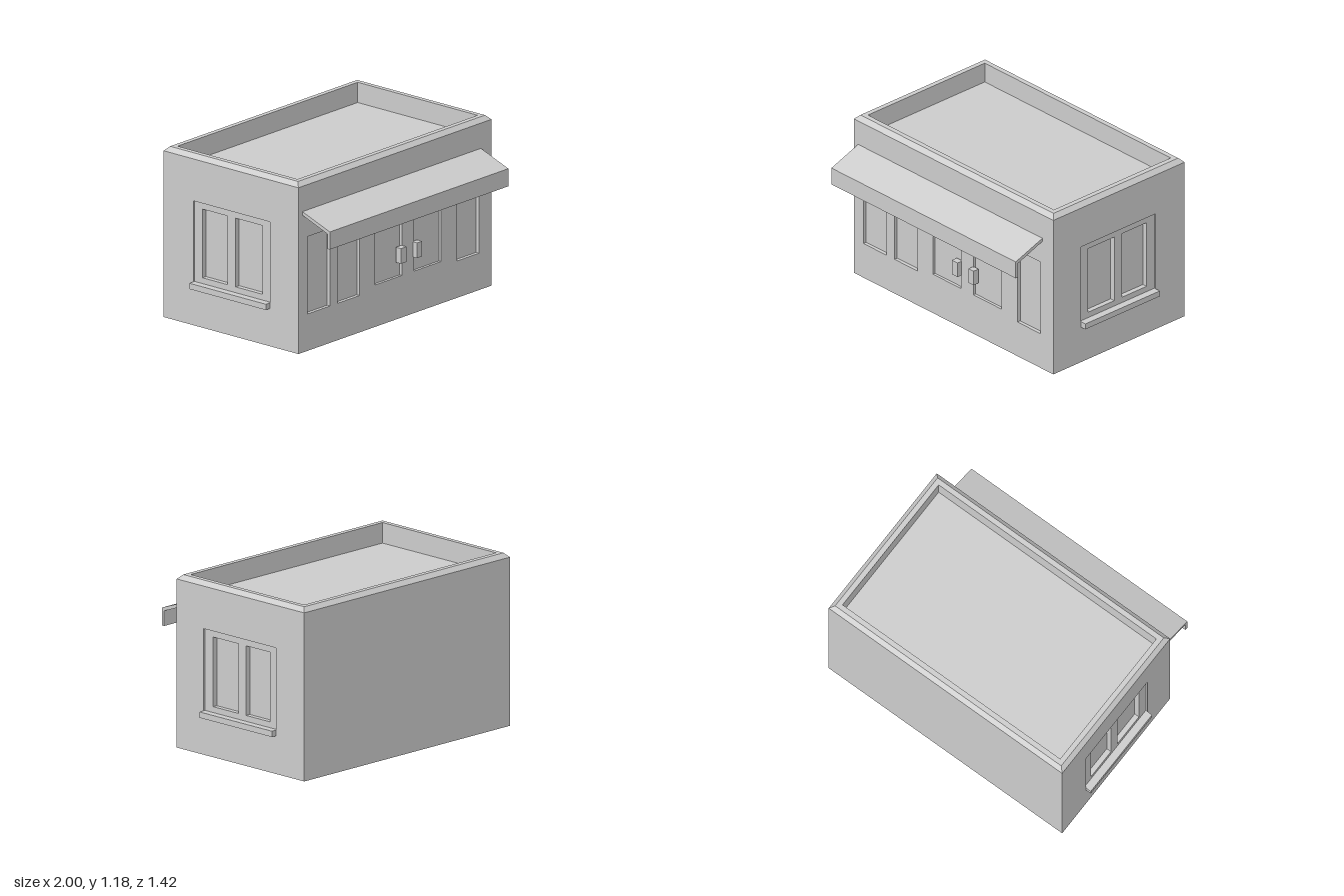
import * as THREE from 'three';

const mat = new THREE.MeshStandardMaterial({ color: 0xcccccc, flatShading: true });
const W = 0.96, ZF = 0.47, ZB = -0.71, H = 1.15, T = 0.065, ZC = -0.12;

function add(parent, name, geometry) {
  const mesh = new THREE.Mesh(geometry, mat);
  mesh.name = name;
  parent.add(mesh);
  return mesh;
}

// Box given by its limits
function box(parent, name, [x0, x1], [y0, y1], [z0, z1]) {
  const g = new THREE.BoxGeometry(x1 - x0, y1 - y0, z1 - z0);
  g.translate((x0 + x1) / 2, (y0 + y1) / 2, (z0 + z1) / 2);
  return add(parent, name, g);
}

// Flat plate from an outline, with rectangular holes [x0, x1, y0, y1], between z0 and z1
function plate(parent, name, outline, holes, z0, z1) {
  const shape = new THREE.Shape(outline.map(([x, y]) => new THREE.Vector2(x, y)));
  for (const [x0, x1, y0, y1] of holes) {
    shape.holes.push(new THREE.Path(
      [[x0, y0], [x0, y1], [x1, y1], [x1, y0]].map(([x, y]) => new THREE.Vector2(x, y))));
  }
  const g = new THREE.ExtrudeGeometry(shape, { depth: z1 - z0, bevelEnabled: false });
  g.translate(0, 0, z0);
  return add(parent, name, g);
}

const rect = (x0, x1, y0, y1) => [[x0, y0], [x1, y0], [x1, y1], [x0, y1]];

// Rectangular ring swept through [inset, height] steps
function coping(steps) {
  const loops = steps.map(([d, y]) => [
    [-W + d, y, ZF - d], [W - d, y, ZF - d], [W - d, y, ZB + d], [-W + d, y, ZB + d]]);
  const pos = [];
  for (let i = 0; i < loops.length - 1; i++) {
    for (let j = 0; j < 4; j++) {
      const k = (j + 1) % 4;
      const a = loops[i][j], b = loops[i][k], c = loops[i + 1][k], d = loops[i + 1][j];
      pos.push(...a, ...b, ...c, ...a, ...c, ...d);
    }
  }
  const g = new THREE.BufferGeometry();
  g.setAttribute('position', new THREE.Float32BufferAttribute(pos, 3));
  g.computeVertexNormals();
  return g;
}

// Side wall built facing +z, with a sill and a two-pane window; s = 1 for left, -1 for right
function sideWall(s) {
  const wall = new THREE.Group();
  wall.name = s > 0 ? 'leftWall' : 'rightWall';
  const half = (ZF - ZB) / 2 - T;
  const span = (a, b) => (s > 0 ? [a, b] : [-b, -a]);
  const opening = [...span(-0.34, 0.33), 0.26, 0.86];
  const panes = [span(-0.265, -0.03), span(0.04, 0.26)];
  plate(wall, 'sideWallPanel', rect(-half, half, 0, H), [opening], -T, 0);
  plate(wall, 'windowFrame', rect(...opening),
    panes.map((p) => [...p, 0.34, 0.815]), -0.055, -0.012);
  for (const p of panes) box(wall, 'windowPane', p, [0.34, 0.815], [-0.053, -0.047]);
  box(wall, 'windowSill', span(-0.34, 0.33), [0.26, 0.3], [-0.1, 0.04]);
  wall.rotation.y = s * Math.PI / 2;
  wall.position.set(s * W, 0, ZC);
  return wall;
}

export function createModel() {
  const shop = new THREE.Group();
  shop.name = 'shopBuilding';

  // Front wall with a doorway notch and three shop windows
  const doorway = [-0.25, 0.53, 0, 0.86];
  const windows = [[-0.87, -0.645], [-0.57, -0.35], [0.615, 0.835]];
  plate(shop, 'frontWall', [
    [-W, 0], [doorway[0], 0], [doorway[0], doorway[3]], [doorway[1], doorway[3]],
    [doorway[1], 0], [W, 0], [W, H], [-W, H]],
    windows.map((w) => [...w, 0.255, 0.79]), ZF - T, ZF);
  for (const w of windows) {
    box(shop, 'shopWindowPane', w, [0.255, 0.79], [ZF - 0.04, ZF - 0.025]);
  }

  // Double door, flush outside, with glazing and handles
  const doorPanes = [[-0.2, 0.07], [0.19, 0.46]];
  plate(shop, 'doubleDoor', rect(...doorway),
    doorPanes.map((p) => [...p, 0.29, 0.71]), ZF - 0.045, ZF);
  for (const p of doorPanes) {
    box(shop, 'doorPane', p, [0.29, 0.71], [ZF - 0.035, ZF - 0.02]);
  }
  for (const x of [[0.02, 0.075], [0.18, 0.23]]) {
    box(shop, 'doorHandle', x, [0.39, 0.495], [ZF - 0.01, ZF + 0.035]);
  }

  // Remaining walls
  box(shop, 'backWall', [-W, W], [0, H], [ZB, ZB + T]);
  shop.add(sideWall(1), sideWall(-1));

  // Sunken flat roof and bevelled parapet top
  box(shop, 'roof', [-W + T, W - T], [1.0, 1.04], [ZB + T, ZF - T]);
  add(shop, 'parapetCoping', coping([[0, H], [0.03, 1.18], [T, 1.18], [T, H]]));

  // Sloped awning with a hanging front flap
  const awning = plate(shop, 'awning', [
    [0.465, 0.977], [0.465, 0.953], [0.69, 0.868], [0.69, 0.765], [0.71, 0.765], [0.71, 0.887]],
    [], -0.855, 0.92);
  awning.rotation.y = -Math.PI / 2;

  return shop;
}
